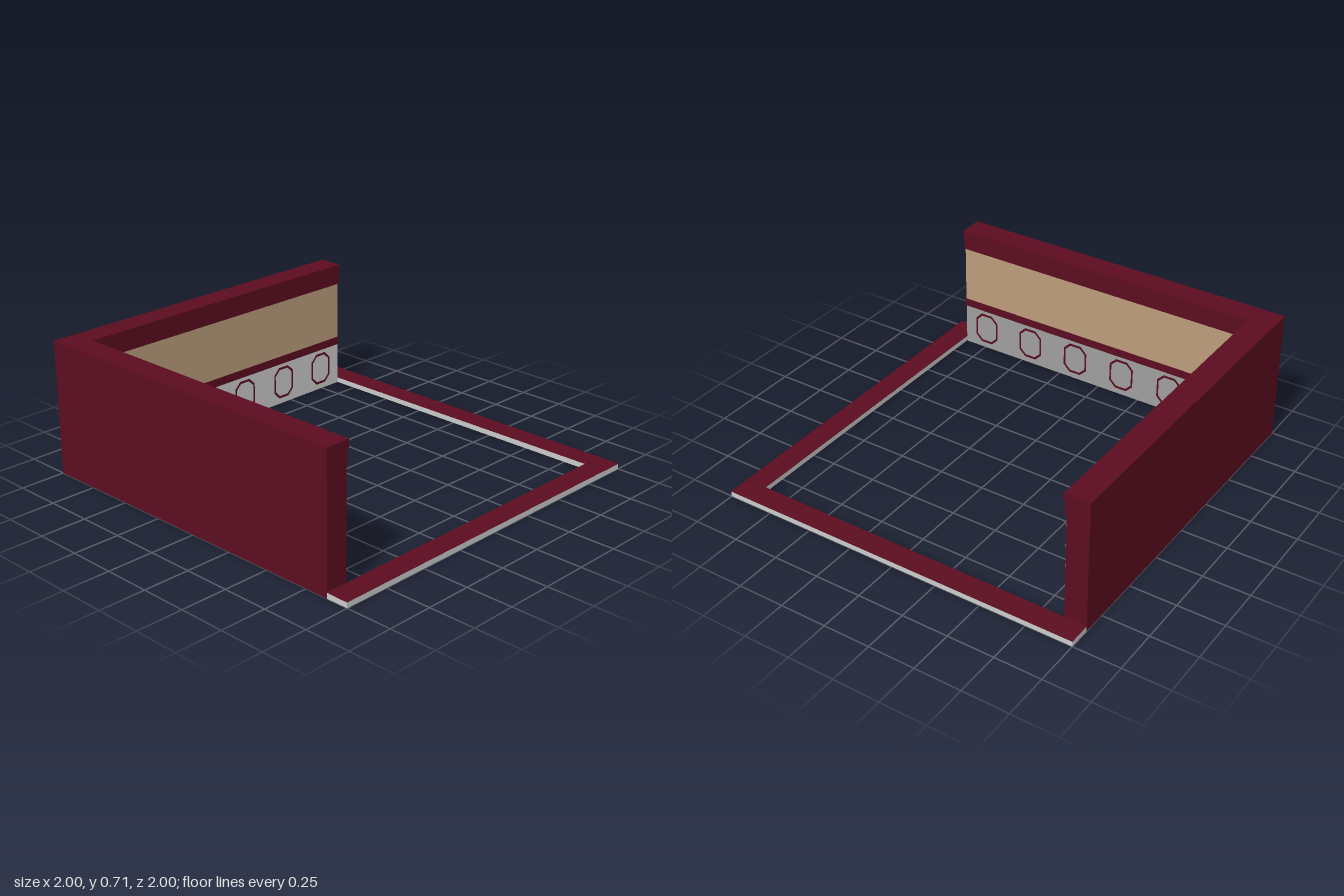
import * as THREE from 'three';

const mat = (name, color) => new THREE.MeshStandardMaterial({ name, color });

export function createModel() {
  const burgundy = mat('burgundy', 0x5c0d20);
  const tan = mat('tan', 0xbd9d7c);
  const lightGrey = mat('light grey', 0xcccccc);
  const midGrey = mat('mid grey', 0x9f9f9f);

  const model = new THREE.Group();
  model.name = 'cornerWall';

  // Box between two corners; swapped exchanges x and z for the second wing
  function slab(parent, name, material, swapped, x0, x1, y0, y1, z0, z1) {
    const [a0, a1, b0, b1] = swapped ? [z0, z1, x0, x1] : [x0, x1, z0, z1];
    const mesh = new THREE.Mesh(new THREE.BoxGeometry(a1 - a0, y1 - y0, b1 - b0), material);
    mesh.position.set((a0 + a1) / 2, (y0 + y1) / 2, (b0 + b1) / 2);
    mesh.name = name;
    parent.add(mesh);
  }

  // Tall octagon outline, used for the ring ornaments
  const octagon = (w, h, cut) => [
    [-w + cut, -h], [w - cut, -h], [w, -h + cut], [w, h - cut],
    [w - cut, h], [-w + cut, h], [-w, h - cut], [-w, -h + cut],
  ].map(([x, y]) => new THREE.Vector2(x, y));
  const ringShape = new THREE.Shape(octagon(0.072, 0.091, 0.038));
  ringShape.holes.push(new THREE.Path(octagon(0.062, 0.078, 0.032)));
  const ringGeometry = new THREE.ExtrudeGeometry(ringShape, { depth: 0.006, bevelEnabled: false });
  ringGeometry.translate(0, 0, -0.003);

  // Hollow wall wing, open underneath
  function wall(name, swapped, dadoMaterial) {
    const wing = new THREE.Group();
    wing.name = name;
    const add = (...args) => slab(wing, args[0], args[1], swapped, ...args.slice(2));
    add('outerSkin', burgundy, -1, 0.88, 0, 0.71, -1, -0.995);
    add('endCap', burgundy, 0.875, 0.88, 0.03, 0.71, -0.997, -0.881);
    add('dado', dadoMaterial, -0.88, 0.878, 0, 0.235, -0.884, -0.88);
    add('lowerTrim', burgundy, -0.88, 0.88, 0.235, 0.28, -0.886, -0.878);
    add('panel', tan, -0.88, 0.879, 0.28, 0.6, -0.884, -0.88);
    add('upperTrim', burgundy, -1, 0.88, 0.6, 0.68, -0.99, -0.873);
    add('crown', burgundy, -1, 0.88, 0.675, 0.715, -1, -0.865);
    // Row of octagonal rings
    for (let i = 0; i < 6; i++) {
      const ring = new THREE.Mesh(ringGeometry, burgundy);
      const along = -0.73 + i * 0.294;
      ring.name = 'octagonRing';
      if (swapped) {
        ring.rotation.y = Math.PI / 2;
        ring.position.set(-0.882, 0.123, along);
      } else {
        ring.position.set(along, 0.123, -0.882);
      }
      wing.add(ring);
    }
    model.add(wing);
  }
  wall('backWall', false, lightGrey);
  wall('sideWall', true, midGrey);

  // Low threshold strips: burgundy top over grey rims, hollow underneath
  for (const swapped of [false, true]) {
    const strip = new THREE.Group();
    strip.name = swapped ? 'sideThreshold' : 'frontThreshold';
    const add = (...args) => slab(strip, args[0], args[1], swapped, ...args.slice(2));
    add('thresholdTop', burgundy, -1, 1, 0.028, 0.031, 0.88, 1);
    add('outerRim', lightGrey, -1, 1, 0, 0.029, 0.994, 1);
    add('innerRim', lightGrey, -1, 0.886, 0, 0.029, 0.88, 0.886);
    add('endRim', lightGrey, -1, -0.994, 0, 0.029, 0.88, 1);
    model.add(strip);
  }
  return model;
}
